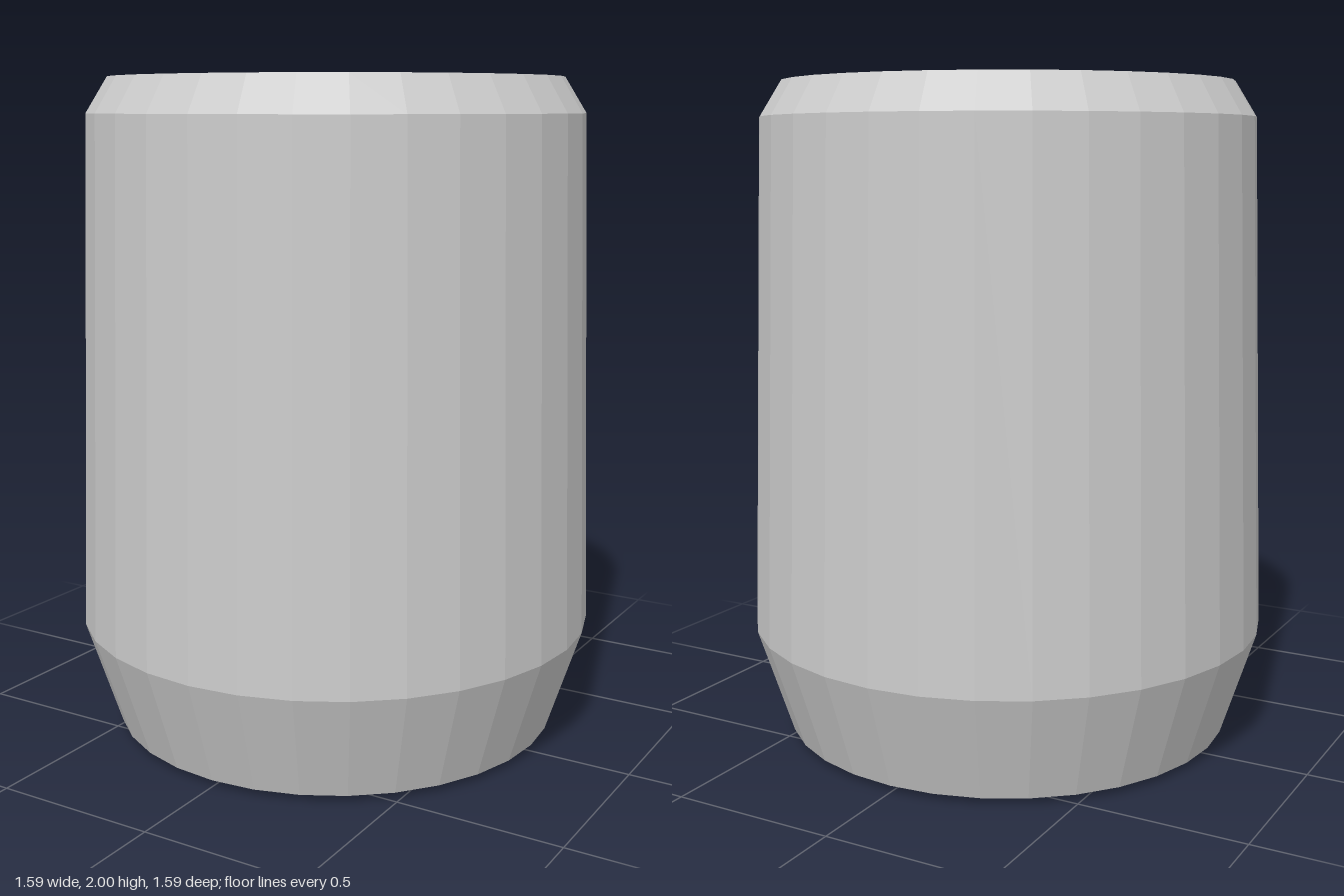
import * as THREE from 'three';

const SIDES = 32;

// Thin faceted shell turned around the y axis from [radius, height] pairs
function turned(name, profile, material) {
  const points = profile.map(([r, y]) => new THREE.Vector2(r, y));
  const mesh = new THREE.Mesh(new THREE.LatheGeometry(points, SIDES), material);
  mesh.name = name;
  return mesh;
}

export function createModel() {
  const group = new THREE.Group();
  group.name = 'cup';
  const material = new THREE.MeshStandardMaterial({
    color: 0xcccccc,
    flatShading: true,
    side: THREE.DoubleSide,
  });

  group.add(
    // Small hollow cone rising from the middle of the floor
    turned('floorCone', [[0, 0.15], [0.042, 0]], material),
    // Flat floor and its narrow bevel
    turned('floor', [[0.042, 0], [0.64, 0], [0.69, 0.02]], material),
    // Flared foot and tapering wall
    turned('wall', [[0.69, 0.02], [0.795, 0.345], [0.745, 1.895]], material),
    // Inward sloping shoulder around the open mouth
    turned('rim', [[0.745, 1.895], [0.68, 2]], material),
  );
  return group;
}
